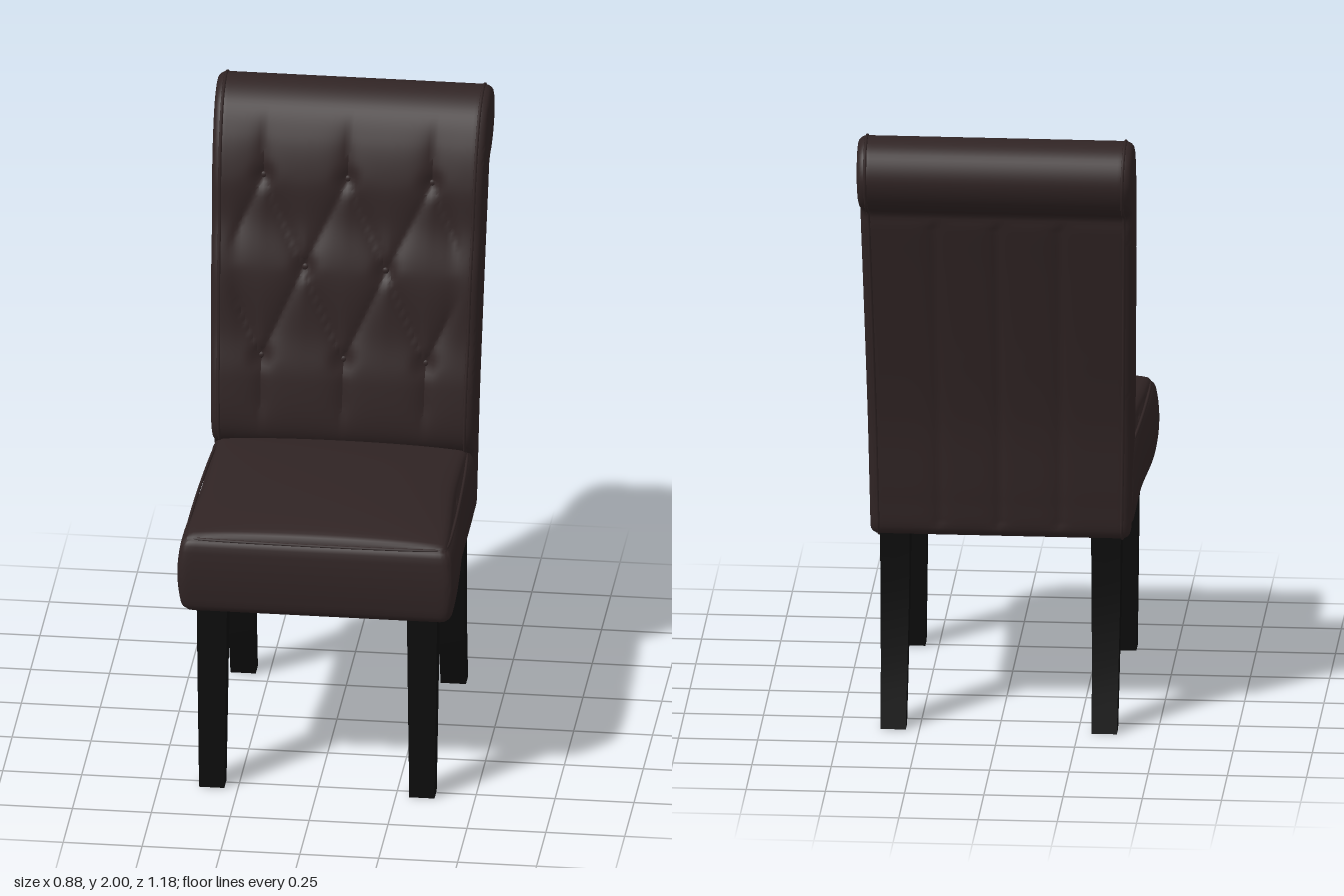
import * as THREE from 'three';
import { toCreasedNormals } from 'three/addons/utils/BufferGeometryUtils.js';

const fabric = new THREE.MeshStandardMaterial({ color: 0x302424 });
fabric.name = 'dark brown upholstery';
const wood = new THREE.MeshStandardMaterial({ color: 0x0c0c0c });
wood.name = 'black wood';
const lining = new THREE.MeshStandardMaterial({ color: 0x30281a });
lining.name = 'olive lining';

// Side outline of the scrolled backrest as [z, y]
const outline = [
  [-0.2, 0.64], [-0.195, 0.84], [-0.145, 0.885], [-0.12, 0.94], [-0.132, 1.1], [-0.168, 1.25],
  [-0.2, 1.45], [-0.245, 1.6], [-0.27, 1.74], [-0.32, 1.87], [-0.39, 1.965], [-0.48, 2.0],
  [-0.555, 1.967], [-0.59, 1.885], [-0.562, 1.805], [-0.51, 1.765], [-0.465, 1.745], [-0.455, 1.69],
  [-0.42, 1.52], [-0.37, 1.25], [-0.332, 1.0], [-0.317, 0.75], [-0.305, 0.64], [-0.285, 0.624], [-0.22, 0.624],
];
const profile = new THREE.CatmullRomCurve3(outline.map(([z, y]) => new THREE.Vector3(0, y, z)), true)
  .getSpacedPoints(210).slice(0, -1);

// Button positions and the creases that join them
const buttons = [[-0.27, 1.74], [0, 1.74], [0.27, 1.74], [-0.13, 1.46], [0.13, 1.46], [-0.27, 1.17], [0, 1.17], [0.27, 1.17]];
const creases = [];
for (const x of [-0.27, 0, 0.27]) {
  for (const y of [1.74, 1.17]) {
    creases.push([x, y, x, y > 1.5 ? 1.93 : 0.93]);
    for (const s of [-1, 1]) creases.push([x, y, x + s * 0.135, 1.46]);
  }
}

// Depth of the outline at a height, on the front or the back
function outlineZ(y, front) {
  let best = null;
  profile.forEach((a, i) => {
    const b = profile[(i + 1) % profile.length];
    if ((a.y - y) * (b.y - y) > 0 || a.y === b.y) return;
    const z = a.z + (b.z - a.z) * (y - a.y) / (b.y - a.y);
    if (best === null || (front ? z > best : z < best)) best = z;
  });
  return best ?? -0.4;
}

function segmentDistance(x, y, [ax, ay, bx, by]) {
  const dx = bx - ax, dy = by - ay;
  const t = THREE.MathUtils.clamp(((x - ax) * dx + (y - ay) * dy) / (dx * dx + dy * dy), 0, 1);
  return Math.hypot(x - ax - t * dx, y - ay - t * dy);
}

function tuft(x, y) {
  const d = Math.min(...creases.map(c => segmentDistance(x, y, c)));
  const r = Math.min(...buttons.map(([bx, by]) => Math.hypot(x - bx, y - by)));
  const fade = THREE.MathUtils.smoothstep(0.39 - Math.abs(x), 0, 0.06)
    * THREE.MathUtils.smoothstep(y, 0.9, 1.05) * (1 - THREE.MathUtils.smoothstep(y, 1.78, 1.95));
  return fade * (0.016 * Math.exp(-d / 0.03) + 0.016 * Math.exp(-((r / 0.03) ** 2)));
}

// The backrest widens slightly towards the top
const flare = y => 0.94 + 0.06 * (y - 0.62) / 1.38;

function deform(geometry, rule) {
  const p = geometry.attributes.position, v = new THREE.Vector3();
  for (let i = 0; i < p.count; i++) {
    rule(v.fromBufferAttribute(p, i));
    p.setXYZ(i, v.x, v.y, v.z);
  }
  return geometry;
}

function addMesh(parent, name, geometry, material) {
  const mesh = new THREE.Mesh(geometry, material);
  mesh.name = name;
  parent.add(mesh);
  return mesh;
}

function backrestGeometry() {
  const shape = new THREE.Shape(profile.map(p => new THREE.Vector2(-p.z, p.y)));
  const g = new THREE.ExtrudeGeometry(shape, {
    depth: 0.81, steps: 60, bevelEnabled: true, bevelThickness: 0.03, bevelSize: 0.022, bevelOffset: -0.022, bevelSegments: 4,
  });
  g.translate(0, 0, -0.405).rotateY(Math.PI / 2);
  deform(g, v => {
    if (Math.abs(v.x) < 0.39) {
      if (v.y > 0.9 && v.y < 1.96 && v.z > outlineZ(v.y, true) - 0.03) v.z -= tuft(v.x, v.y);
      else if (v.y > 0.66 && v.y < 1.7 && v.z < outlineZ(v.y, false) + 0.03) {
        // Vertical seams on the rear panel
        const d = Math.min(...[-0.2, 0, 0.2].map(x => Math.abs(v.x - x)));
        v.z += 0.007 * Math.exp(-d / 0.02);
      }
    }
    v.x *= flare(v.y);
  });
  return toCreasedNormals(g, 0.7);
}

// Half width of the seat along its depth
const seatHalf = z => 0.405 + 0.018 * THREE.MathUtils.smoothstep(z, 0.1, 0.5);

function seatGeometry() {
  const g = new THREE.BoxGeometry(2, 2, 2, 32, 14, 32);
  const half = new THREE.Vector3(1, 0.13, 0.382), r = 0.028;
  deform(g, v => {
    // Vertices gather at the edges, which are rounded
    const u = ['x', 'y', 'z'].map(k => Math.sin(v[k] * Math.PI / 2));
    const z0 = 0.195 + u[2] * half.z;
    const size = [seatHalf(z0), half.y, half.z];
    const p = new THREE.Vector3(...u.map((t, i) => t * size[i]));
    const inner = new THREE.Vector3(...size).subScalar(r);
    const q = p.clone().clamp(inner.clone().negate(), inner);
    const d = p.sub(q);
    if (d.length() > 0) d.setLength(r);
    v.copy(q).add(d);
    // Crowned top and puffed sides
    const belly = 1 - u[1] * u[1];
    const crown = (1 - u[0] ** 2) * (1 - u[2] ** 2);
    v.x *= 1 + 0.04 * belly;
    v.z *= 1 + 0.035 * belly;
    if (u[1] > 0) v.y += 0.055 * Math.sqrt(crown) * u[1];
    v.y += 0.75;
    v.z += 0.195;
  });
  return toCreasedNormals(g, 0.9);
}

function piping(points, radius) {
  return new THREE.TubeGeometry(new THREE.CatmullRomCurve3(points, true), 160, radius, 6, true);
}

// Square leg following a path of [y, z, half width, half depth]
function legGeometry(path) {
  const curve = i => new THREE.CatmullRomCurve3(path.map(p => new THREE.Vector3(p[0], p[1], p[i])));
  const width = curve(2), depth = curve(3);
  const g = new THREE.BoxGeometry(2, 1, 2, 1, 10, 1);
  deform(g, v => {
    const t = v.y + 0.5, w = width.getPoint(t), d = depth.getPoint(t);
    v.set(v.x * w.z, w.x, w.y + v.z * d.z);
  });
  return toCreasedNormals(g, 0.6);
}

export function createModel() {
  const chair = new THREE.Group();
  chair.name = 'chair';

  // Backrest with buttons and edge piping
  const back = new THREE.Group();
  back.name = 'backrest';
  chair.add(back);
  addMesh(back, 'backCushion', backrestGeometry(), fabric);
  for (const [x, y] of buttons) {
    const button = addMesh(back, 'button', new THREE.SphereGeometry(0.012, 12, 8), fabric);
    button.scale.z = 0.6;
    button.position.set(x * flare(y), y, outlineZ(y, true) - tuft(x, y));
  }
  for (const side of [-1, 1]) {
    const edge = profile.filter((p, i) => i % 3 === 0).map(p => new THREE.Vector3(side * 0.408 * flare(p.y), p.y, p.z));
    addMesh(back, 'backPiping', piping(edge, 0.005), fabric);
  }

  // Seat cushion, its piping and the lining underneath
  addMesh(chair, 'seatCushion', seatGeometry(), fabric);
  const rim = [];
  for (const [sx, sz] of [[1, 1], [-1, 1], [-1, -1], [1, -1]]) {
    const z = 0.195 + sz * 0.37, w = seatHalf(z) - 0.01;
    const corner = [[w, z - sz * 0.03], [w - 0.008, z - sz * 0.008], [w - 0.03, z]];
    if (sx * sz < 0) corner.reverse();
    for (const [x, cz] of corner) rim.push(new THREE.Vector3(sx * x, 0.873, cz));
  }
  addMesh(chair, 'seatPiping', piping(rim, 0.005), fabric);
  addMesh(chair, 'seatLining', new THREE.BoxGeometry(0.74, 0.008, 0.68), lining).position.set(0, 0.619, 0.185);

  // Tapered front legs and curved rear legs
  const front = legGeometry([[0, 0.514, 0.04, 0.03], [0.3, 0.508, 0.044, 0.034], [0.64, 0.502, 0.048, 0.039]]);
  const rear = legGeometry([[0, -0.332, 0.04, 0.029], [0.2, -0.285, 0.042, 0.033], [0.42, -0.252, 0.045, 0.037], [0.64, -0.244, 0.047, 0.039]]);
  for (const side of [-1, 1]) {
    addMesh(chair, 'frontLeg', front, wood).position.x = side * 0.333;
    addMesh(chair, 'rearLeg', rear, wood).position.x = side * 0.333;
  }
  return chair;
}
